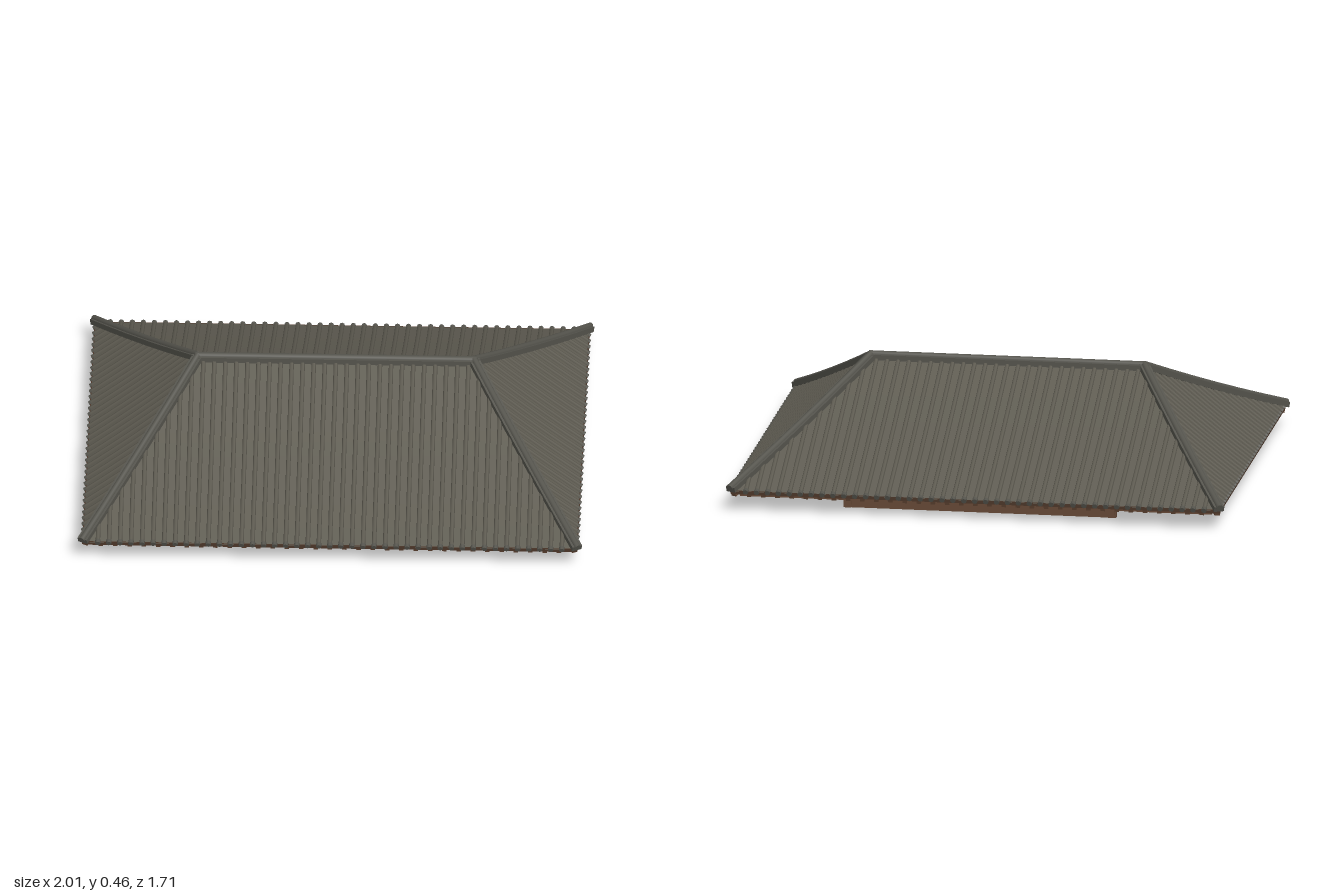
import * as THREE from 'three';
import { mergeGeometries } from 'three/addons/utils/BufferGeometryUtils.js';

const V = (x, y, z) => new THREE.Vector3(x, y, z);
const EX = 0.985, EZ = 0.84, RX = 0.55;      // eave half sizes, ridge half length
const EAVE = 0.08, RIDGE = 0.433, SAG = 0.008;
const height = t => EAVE + (RIDGE - EAVE) * t - SAG * 4 * t * (1 - t);

// Four slopes: u runs along the eave, t runs from eave (0) to ridge (1)
const slopes = [];
for (const s of [1, -1]) {
  slopes.push({
    name: s > 0 ? 'front' : 'back', eave: EX, top: RX,
    at: (u, t, dy = 0) => V(s * u, height(t) + dy, s * EZ * (1 - t)),
  });
  slopes.push({
    name: s > 0 ? 'left' : 'right', eave: EZ, top: 0,
    at: (u, t, dy = 0) => V(s * (EX + (RX - EX) * t), height(t) + dy, -s * u),
  });
}

// Curved sheet following a slope
function sheet(slope, dy, flip) {
  const n = 8, pos = [], idx = [];
  for (let i = 0; i <= n; i++) {
    const t = i / n, w = slope.eave + (slope.top - slope.eave) * t;
    pos.push(...slope.at(-w, t, dy).toArray(), ...slope.at(w, t, dy).toArray());
    if (i === n) break;
    const a = i * 2, b = a + 1, c = a + 2, d = a + 3;
    idx.push(...(flip ? [a, d, b, a, c, d] : [a, b, d, a, d, c]));
  }
  const g = new THREE.BufferGeometry();
  g.setAttribute('position', new THREE.Float32BufferAttribute(pos, 3));
  g.setIndex(idx);
  g.computeVertexNormals();
  return g;
}

// Square timber between two points
function bar(a, b, w, h) {
  const dir = b.clone().sub(a), len = dir.length();
  dir.normalize();
  const side = Math.abs(dir.y) > 0.99 ? V(1, 0, 0) : V(0, 1, 0).cross(dir).normalize();
  const up = dir.clone().cross(side);
  const m = new THREE.Matrix4().makeBasis(side, up, dir);
  m.setPosition(a.clone().add(b).multiplyScalar(0.5));
  return new THREE.BoxGeometry(w, h, len).applyMatrix4(m);
}

// Round stick between two points
function rod(a, b, r, sides) {
  const dir = b.clone().sub(a);
  const g = new THREE.CylinderGeometry(r, r, dir.length(), sides);
  g.applyQuaternion(new THREE.Quaternion().setFromUnitVectors(V(0, 1, 0), dir.normalize()));
  const c = a.clone().add(b).multiplyScalar(0.5);
  return g.translate(c.x, c.y, c.z);
}

export function createModel() {
  const root = new THREE.Group();
  root.name = 'hipRoof';
  const mat = (name, color) => Object.assign(new THREE.MeshStandardMaterial({ color }), { name });
  const tile = mat('grey tile', 0x5f5c52);
  const cap = mat('ridge tile', 0x55544d);
  const wood = mat('brown timber', 0x654835);
  const board = mat('dark boarding', 0x4a3528);
  const add = (name, geos, material) => {
    const mesh = new THREE.Mesh(geos.length > 1 ? mergeGeometries(geos) : geos[0], material);
    mesh.name = name;
    root.add(mesh);
  };

  for (const s of slopes) {
    // Highest t reached at a given offset before meeting the hip
    const limit = u => Math.min(1, (s.eave - Math.abs(u)) / (s.eave - s.top));
    add(s.name + 'TileBed', [sheet(s, 0, false)], tile);
    add(s.name + 'Boarding', [sheet(s, -0.014, true)], board);

    // Rows of round cover tiles with end discs
    const ribs = [], ends = [];
    const count = Math.floor((s.eave - 0.02) / 0.044);
    for (let i = -count; i <= count; i++) {
      const u = i * 0.044, tm = limit(u);
      const pts = [];
      for (let k = 0; k <= 6; k++) pts.push(s.at(u, tm * k / 6));
      ribs.push(new THREE.TubeGeometry(new THREE.CatmullRomCurve3(pts), 6, 0.009, 6));
      ends.push(rod(s.at(u, -0.006), s.at(u, 0.012), 0.011, 8));
    }
    add(s.name + 'TileRows', ribs, tile);
    add(s.name + 'TileEnds', ends, cap);

    // Short eave rafters and the boards closing the eave
    const rafters = [];
    const n = Math.floor((s.eave - 0.04) / 0.057);
    for (let i = -n; i <= n; i++) {
      const u = i * 0.057, t1 = Math.min(0.2, limit(u));
      rafters.push(bar(s.at(u, 0.012, -0.021), s.at(u, t1, -0.021), 0.018, 0.016));
    }
    add(s.name + 'EaveRafters', rafters, wood);
    const w = s.eave - 0.005;
    add(s.name + 'EaveBoard', [bar(s.at(-w, 0.006, -0.007), s.at(w, 0.006, -0.007), 0.008, 0.014)], board);
    if (s.top > 0) {
      add(s.name + 'EavePurlin', [bar(s.at(-0.95, 0.036, -0.026), s.at(0.95, 0.036, -0.026), 0.018, 0.018)], wood);
    }
  }

  // Main ridge and the four hips: flat course with a round cap on top
  add('ridgeCourse', [bar(V(-RX, 0.436, 0), V(RX, 0.436, 0), 0.042, 0.022)], cap);
  add('ridgeCap', [rod(V(-RX - 0.01, 0.446, 0), V(RX + 0.01, 0.446, 0), 0.014, 10)], cap);
  const courses = [], caps = [], hipRafters = [];
  for (const sx of [1, -1]) for (const sz of [1, -1]) {
    const hip = (t, dy) => V(sx * (EX + (RX - EX) * t), height(t) + dy, sz * EZ * (1 - t));
    for (let k = 0; k < 6; k++) {
      courses.push(bar(hip(k / 6, 0.006), hip((k + 1) / 6, 0.006), 0.042, 0.022));
      caps.push(rod(hip(k / 6 - (k ? 0 : 0.008), 0.016), hip((k + 1) / 6, 0.016), 0.013, 10));
      hipRafters.push(bar(hip(k / 6 + (k ? 0 : 0.02), -0.022), hip((k + 1) / 6, -0.022), 0.022, 0.02));
    }
  }
  add('hipCourses', courses, cap);
  add('hipCaps', caps, cap);
  add('hipRafters', hipRafters, wood);

  // Supporting frame: wall beams, tie beams, posts, sloping rafters, ridge beam
  for (const s of [1, -1]) {
    add('wallBeam', [bar(V(-0.55, 0.027, s * 0.705), V(0.55, 0.027, s * 0.705), 0.024, 0.052)], wood);
    const x = s * 0.53;
    add('tieBeam', [bar(V(x, 0.03, -0.725), V(x, 0.03, 0.725), 0.026, 0.032)], wood);
    add('kingPost', [new THREE.BoxGeometry(0.024, 0.375, 0.024).translate(x, 0.2275, 0)], wood);
    for (const z of [0.705, -0.705]) {
      add('cornerPost', [new THREE.BoxGeometry(0.026, 0.11, 0.026).translate(x, 0.055, z)], wood);
      add('principalRafter', [bar(V(x, 0.395, 0), V(x, 0.1, z), 0.024, 0.022)], wood);
    }
  }
  add('ridgeBeam', [bar(V(-0.54, 0.4, 0), V(0.54, 0.4, 0), 0.024, 0.026)], wood);
  return root;
}
